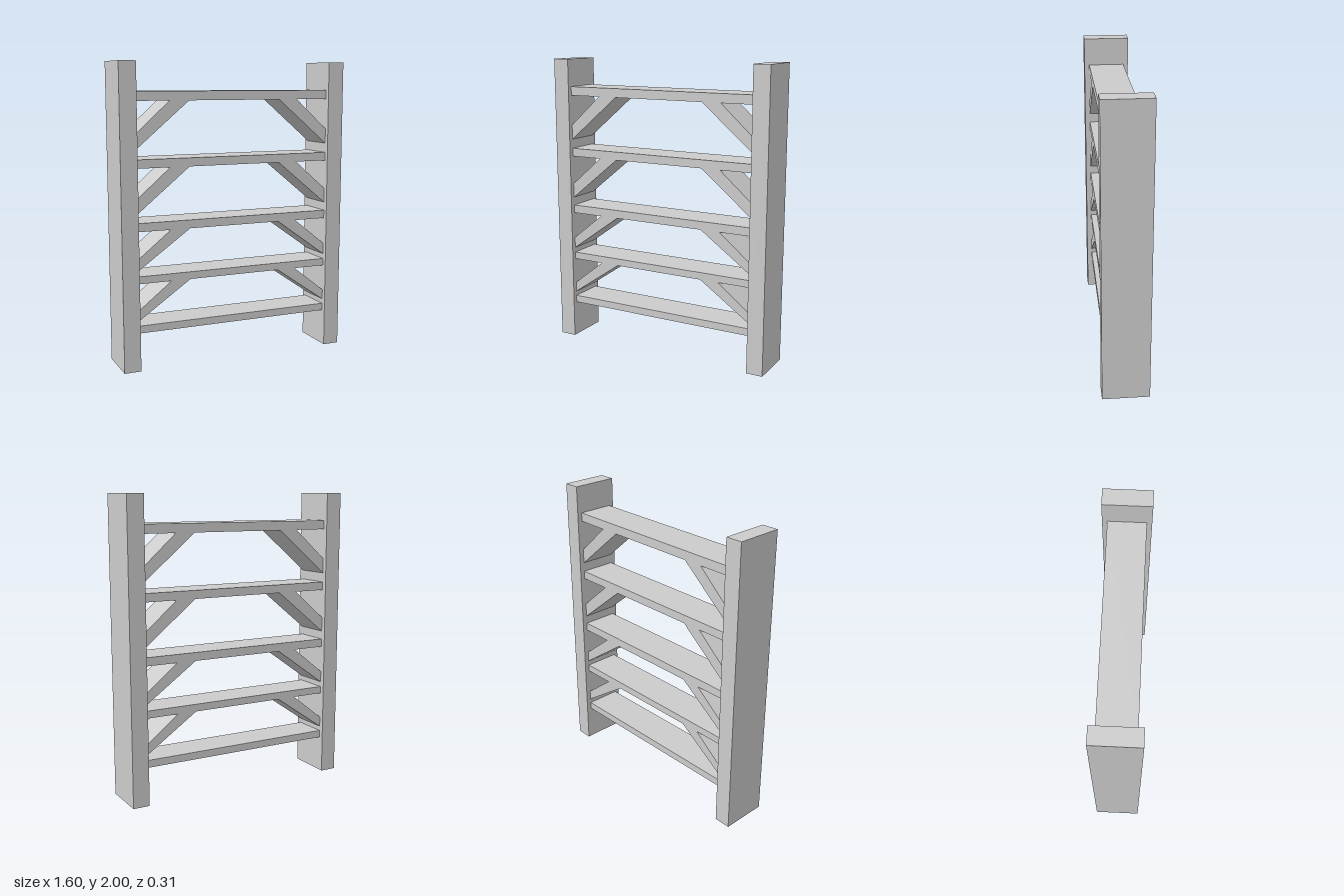
import * as THREE from 'three';

const POST_IN = 0.685, POST_OUT = 0.798, HEIGHT = 2;
const POST_DEPTH = 0.312, SHELF_DEPTH = 0.246;

// Each shelf: underside, top, and where its braces meet the post (low and high edge)
const SHELVES = [
  { bottom: 0.247, top: 0.297 },
  { bottom: 0.577, top: 0.626, brace: [0.329, 0.398] },
  { bottom: 0.919, top: 0.975, brace: [0.661, 0.737] },
  { bottom: 1.327, top: 1.383, brace: [1.032, 1.13] },
  { bottom: 1.752, top: 1.812, brace: [1.447, 1.547] },
];

export function createModel() {
  const model = new THREE.Group();
  model.name = 'shelfRack';
  const material = new THREE.MeshStandardMaterial({ color: 0xcccccc, flatShading: true });

  const add = (name, geometry, x, y) => {
    const mesh = new THREE.Mesh(geometry, material);
    mesh.name = name;
    mesh.position.set(x, y, 0);
    model.add(mesh);
  };

  // Slanted brace from post to shelf underside, cut flush at both ends
  const braceGeometry = (side, [low, high], underside) => {
    const points = [[POST_IN, low], [POST_IN, high], [0.457, underside], [0.324, underside]];
    const shape = new THREE.Shape(points.map(([x, y]) => new THREE.Vector2(side * x, y)));
    return new THREE.ExtrudeGeometry(shape, { depth: SHELF_DEPTH, bevelEnabled: false })
      .translate(0, 0, -SHELF_DEPTH / 2);
  };

  // Side posts
  for (const side of [-1, 1]) {
    add(side > 0 ? 'leftPost' : 'rightPost',
      new THREE.BoxGeometry(POST_OUT - POST_IN, HEIGHT, POST_DEPTH),
      side * (POST_IN + POST_OUT) / 2, HEIGHT / 2);
  }

  // Shelves with a pair of braces under all but the lowest
  SHELVES.forEach(({ bottom, top, brace }, i) => {
    add(`shelf${i + 1}`, new THREE.BoxGeometry(POST_IN * 2, top - bottom, SHELF_DEPTH), 0, (top + bottom) / 2);
    if (!brace) return;
    for (const side of [-1, 1]) {
      add(`${side > 0 ? 'left' : 'right'}Brace${i + 1}`, braceGeometry(side, brace, bottom), 0, 0);
    }
  });

  return model;
}
